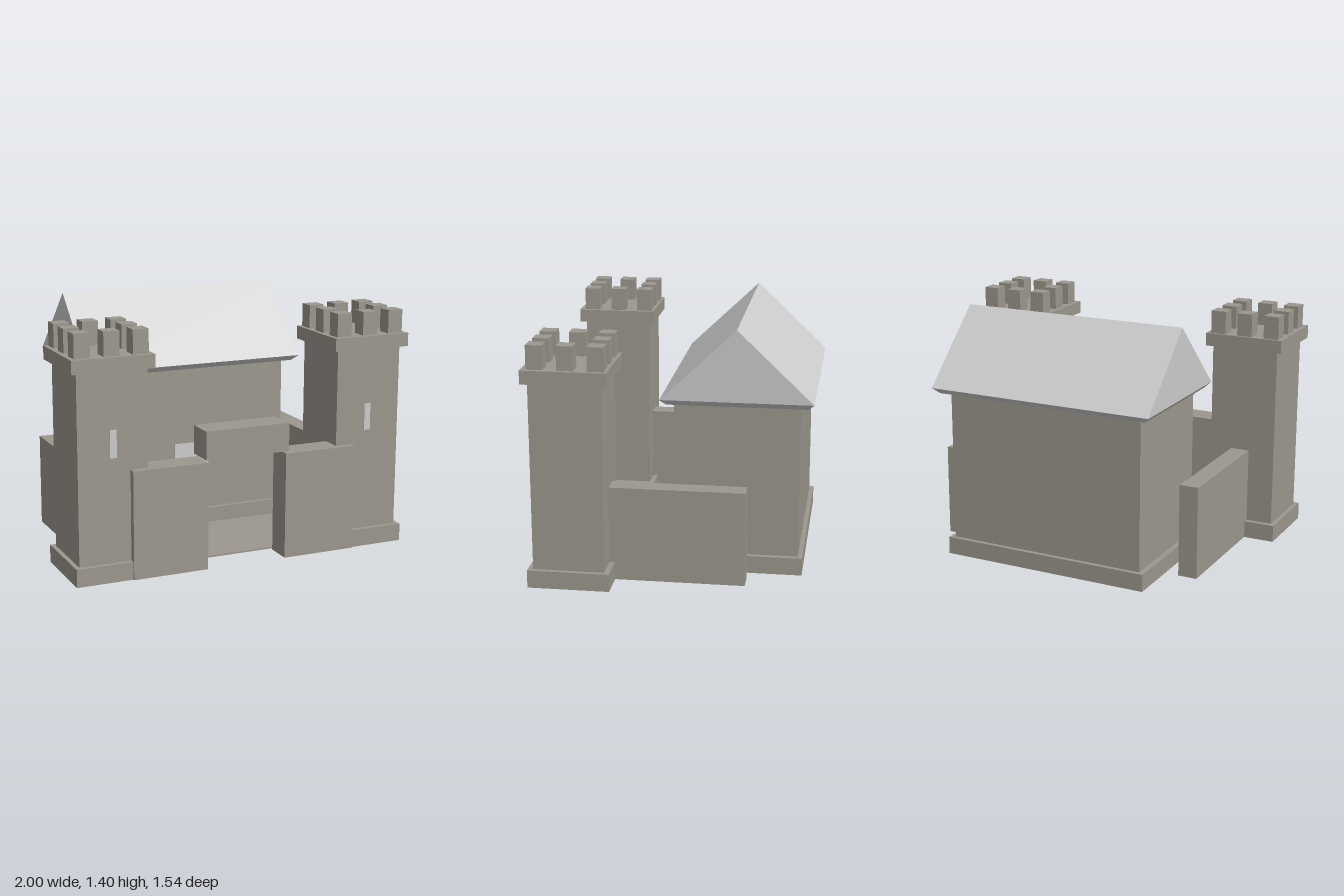
import * as THREE from 'three';

export function createModel() {
  const castle = new THREE.Group();
  castle.name = 'castle';
  const stone = new THREE.MeshStandardMaterial({ name: 'stone', color: 0x9c988e });
  const pale = new THREE.MeshStandardMaterial({ name: 'paleGrey', color: 0xcccccc });

  // Box given by its minimum and maximum corners
  function block(name, [x0, y0, z0], [x1, y1, z1], material = stone, parent = castle) {
    const mesh = new THREE.Mesh(new THREE.BoxGeometry(x1 - x0, y1 - y0, z1 - z0), material);
    mesh.position.set((x0 + x1) / 2, (y0 + y1) / 2, (z0 + z1) / 2);
    mesh.name = name;
    parent.add(mesh);
    return mesh;
  }

  // Keep with plinth, door and courtyard floor
  block('keep', [-0.59, 0, -0.695], [0.59, 0.97, 0]);
  block('keepPlinth', [-0.62, 0, -0.72], [0.62, 0.1, 0.025]);
  block('door', [-0.11, 0.1, -0.002], [0.107, 0.51, 0.005], pale);
  block('courtyardFloor', [-0.67, 0, 0], [0.67, 0.01, 0.59]);

  // Gabled roof prism
  const gable = new THREE.Shape();
  gable.moveTo(-0.07, 1);
  gable.lineTo(0.77, 1);
  gable.lineTo(0.35, 1.4);
  gable.closePath();
  const roofGeometry = new THREE.ExtrudeGeometry(gable, { depth: 1.34, bevelEnabled: false });
  roofGeometry.translate(0, 0, -0.67);
  roofGeometry.rotateY(Math.PI / 2); // shape x becomes -z
  const roof = new THREE.Mesh(roofGeometry, pale);
  roof.name = 'roof';
  castle.add(roof);

  // Eaves taper inwards below the roof
  const eaves = block('eaves', [-0.67, 0.967, -0.77], [0.67, 1, 0.07], pale);
  const p = eaves.geometry.attributes.position;
  for (let i = 0; i < p.count; i++) {
    if (p.getY(i) < 0) {
      p.setX(i, p.getX(i) - Math.sign(p.getX(i)) * 0.033);
      p.setZ(i, p.getZ(i) - Math.sign(p.getZ(i)) * 0.033);
    }
  }
  eaves.geometry.computeVertexNormals();

  // Lintel over the gate
  block('gateLintel', [-0.25, 0.62, 0.6], [0.25, 0.78, 0.768]);

  for (const side of [-1, 1]) {
    const label = side > 0 ? 'left' : 'right';
    // Mirrored block: x range is measured outwards from the centre
    const sided = (name, a, b, material, parent) => {
      const mesh = block(name, a, b, material, parent);
      mesh.position.x *= side;
    };

    sided(label + 'GateWall', [0.235, 0, 0.61], [0.67, 0.605, 0.763]);
    sided(label + 'SideWall', [0.7, 0, -0.42], [0.81, 0.535, 0.34]);

    // Tower
    const tower = new THREE.Group();
    tower.name = label + 'Tower';
    castle.add(tower);
    sided('towerBase', [0.54, 0, 0.3], [0.99, 0.1, 0.753], stone, tower);
    sided('towerShaft', [0.57, 0, 0.33], [0.965, 1.16, 0.724], stone, tower);
    sided('towerCap', [0.537, 1.15, 0.295], [1, 1.225, 0.757], stone, tower);
    sided('towerWindow', [0.747, 0.68, 0.72], [0.785, 0.833, 0.728], pale, tower);

    // Battlements around the rim
    const h = 0.0445;
    for (let i = -1; i <= 1; i++) {
      for (let j = -1; j <= 1; j++) {
        if (i === 0 && j === 0) continue;
        const x = 0.7685 + i * 0.162, z = 0.519 + j * 0.163;
        sided('merlon', [x - h, 1.22, z - h], [x + h, 1.357, z + h], stone, tower);
      }
    }
  }
  return castle;
}
